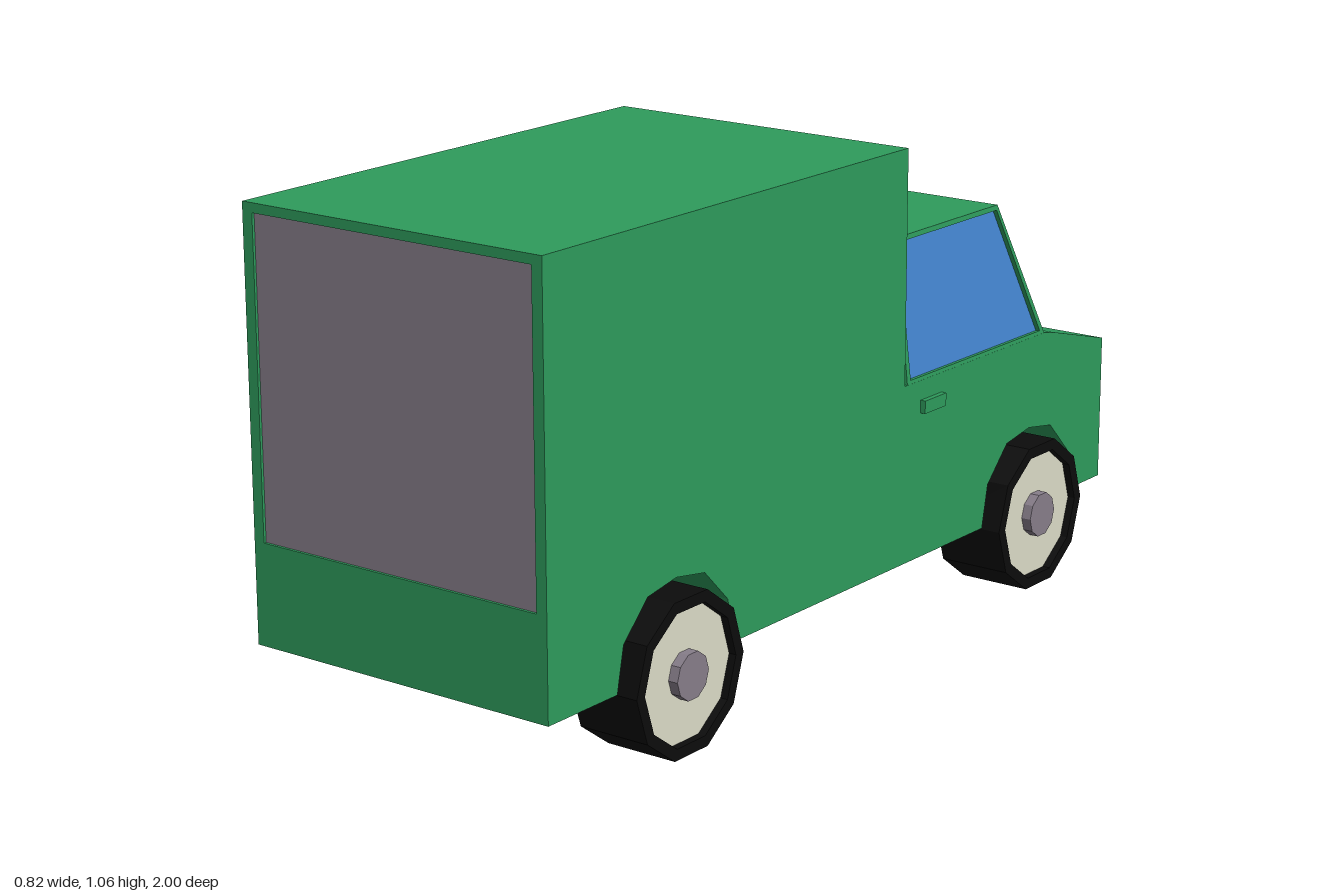
import * as THREE from 'three';

const mat = (color, side = THREE.FrontSide) =>
  new THREE.MeshStandardMaterial({ color, side, flatShading: true });
const green = mat(0x2e9b5c), grey = mat(0x877e8a), blue = mat(0x4486d2, THREE.DoubleSide);
const yellow = mat(0xb0a510), cream = mat(0xdcdcc8), black = mat(0x0c0c0c);
const frameGreen = mat(0x2e9b5c, THREE.DoubleSide);

const V = (x, y, z) => new THREE.Vector3(x, y, z);
const mirrorX = v => V(-v.x, v.y, v.z);

function add(parent, name, geometry, material, x = 0, y = 0, z = 0) {
  const mesh = new THREE.Mesh(geometry, material);
  mesh.name = name;
  mesh.position.set(x, y, z);
  parent.add(mesh);
  return mesh;
}

const shapeOf = pts => new THREE.Shape(pts.map(p => new THREE.Vector2(...p)));

// Flat-sided surface from a list of four-cornered faces
function quads(list) {
  const pos = [];
  for (const [a, b, c, d] of list) for (const v of [a, b, c, a, c, d]) pos.push(v.x, v.y, v.z);
  const g = new THREE.BufferGeometry();
  g.setAttribute('position', new THREE.Float32BufferAttribute(pos, 3));
  g.computeVertexNormals();
  return g;
}

// Four-cornered window: a frame, its reveal and a recessed pane
function addWindow(parent, name, c, mu, mv, depth) {
  const at = (u, v) => c[0].clone().lerp(c[1], u).lerp(c[3].clone().lerp(c[2], u), v);
  const inner = [at(mu, mv), at(1 - mu, mv), at(1 - mu, 1 - mv), at(mu, 1 - mv)];
  const n = c[1].clone().sub(c[0]).cross(c[3].clone().sub(c[0])).normalize();
  const pane = inner.map(p => p.clone().addScaledVector(n, -depth));
  const frame = [];
  for (let i = 0; i < 4; i++) {
    const j = (i + 1) % 4;
    frame.push([c[i], c[j], inner[j], inner[i]], [inner[i], inner[j], pane[j], pane[i]]);
  }
  add(parent, name + 'Frame', quads(frame), frameGreen);
  add(parent, name + 'Glass', quads([pane]), blue);
}

const AXLES = [0.61, -0.665];
const FLOOR = 0.17, HALF = 0.37, INNER = 0.235;

// Side outline of the body, with or without wheel arches (first value runs toward the bonnet)
function bodyOutline(arches) {
  const pts = [[-0.99, FLOOR]];
  if (arches) for (const z of AXLES) {
    for (const [d, y] of [[-0.185, FLOOR], [-0.165, 0.265], [-0.09, 0.34], [0, 0.355],
      [0.09, 0.34], [0.165, 0.265], [0.185, FLOOR]]) pts.push([-z + d, y]);
  }
  pts.push([0.97, FLOOR], [0.97, 0.495], [0.76, 0.552], [0.72, 0.56], [0.17, 0.56],
    [0.17, 1.065], [-0.99, 1.065]);
  return shapeOf(pts);
}

function slab(shape, x0, x1) {
  return new THREE.ExtrudeGeometry(shape, { depth: x1 - x0, bevelEnabled: false })
    .rotateY(Math.PI / 2).translate(x0, 0, 0);
}

function makeWheel(side, z) {
  const wheel = new THREE.Group();
  wheel.name = 'wheel';
  const profile = [[0, -0.082], [0.17, -0.082], [0.17, 0.082], [0.145, 0.082], [0.145, 0.05]]
    .map(p => new THREE.Vector2(...p));
  add(wheel, 'tyre', new THREE.LatheGeometry(profile, 10), black);
  add(wheel, 'rim', new THREE.CylinderGeometry(0.146, 0.146, 0.02, 10), cream, 0, 0.055, 0);
  add(wheel, 'hub', new THREE.CylinderGeometry(0.05, 0.05, 0.03, 10), grey, 0, 0.072, 0);
  wheel.rotation.z = -side * Math.PI / 2;
  wheel.position.set(side * 0.323, 0.162, z);
  return wheel;
}

export function createModel() {
  const van = new THREE.Group();
  van.name = 'deliveryVan';

  // Body: solid core and two flanks with wheel arches
  add(van, 'bodyCore', slab(bodyOutline(false), -INNER, INNER), green);
  add(van, 'leftFlank', slab(bodyOutline(true), INNER, HALF), green);
  add(van, 'rightFlank', slab(bodyOutline(true), -HALF, -INNER), green);

  // Cargo door recessed in a thin frame
  const rect = (w, y0, y1) => [[-w, y0], [w, y0], [w, y1], [-w, y1]];
  const frame = shapeOf(rect(HALF, FLOOR, 1.065));
  frame.holes.push(new THREE.Path(rect(0.345, 0.385, 1.045).map(p => new THREE.Vector2(...p))));
  add(van, 'doorFrame', new THREE.ExtrudeGeometry(frame, { depth: 0.01, bevelEnabled: false }),
    green, 0, 0, 0.99);
  add(van, 'cargoDoor', new THREE.BoxGeometry(0.69, 0.66, 0.006), grey, 0, 0.715, 0.991);

  // Cab above the waistline: base corners, then roof corners
  const bf = V(HALF, 0.557, -0.72), bb = V(HALF, 0.557, -0.18);
  const tf = V(0.335, 0.87, -0.57), tb = V(0.335, 0.87, -0.18);
  const m = mirrorX;
  addWindow(van, 'windscreen', [bf, m(bf), m(tf), tf], 0.025, 0.035, 0.01);
  addWindow(van, 'leftWindow', [bb, bf, tf, tb], 0.025, 0.035, 0.01);
  addWindow(van, 'rightWindow', [m(bf), m(bb), m(tb), m(tf)], 0.025, 0.035, 0.01);
  add(van, 'cabRoof', quads([[m(tf), m(tb), tb, tf]]), frameGreen);
  add(van, 'cabBack', quads([[m(bb), bb, tb, m(tb)]]), frameGreen);

  // Bumper with tapered ends
  const bumper = shapeOf([[-HALF, 0.97], [HALF, 0.97], [0.352, 1], [-0.352, 1]]);
  add(van, 'bumper', new THREE.ExtrudeGeometry(bumper, { depth: 0.08, bevelEnabled: false })
    .rotateX(-Math.PI / 2), grey, 0, FLOOR, 0);

  // Paired parts
  for (const s of [1, -1]) {
    add(van, 'headlight', new THREE.BoxGeometry(0.13, 0.065, 0.02), yellow, s * 0.28, 0.438, -0.967);
    add(van, 'doorHandle', new THREE.BoxGeometry(0.03, 0.028, 0.08), green, s * 0.367, 0.503, -0.27);
    for (const z of AXLES) van.add(makeWheel(s, z));
  }

  // Axle housings under the floor
  for (const z of AXLES)
    add(van, 'axleHousing', new THREE.BoxGeometry(INNER * 2, 0.06, 0.28), green, 0, 0.155, z);

  return van;
}
